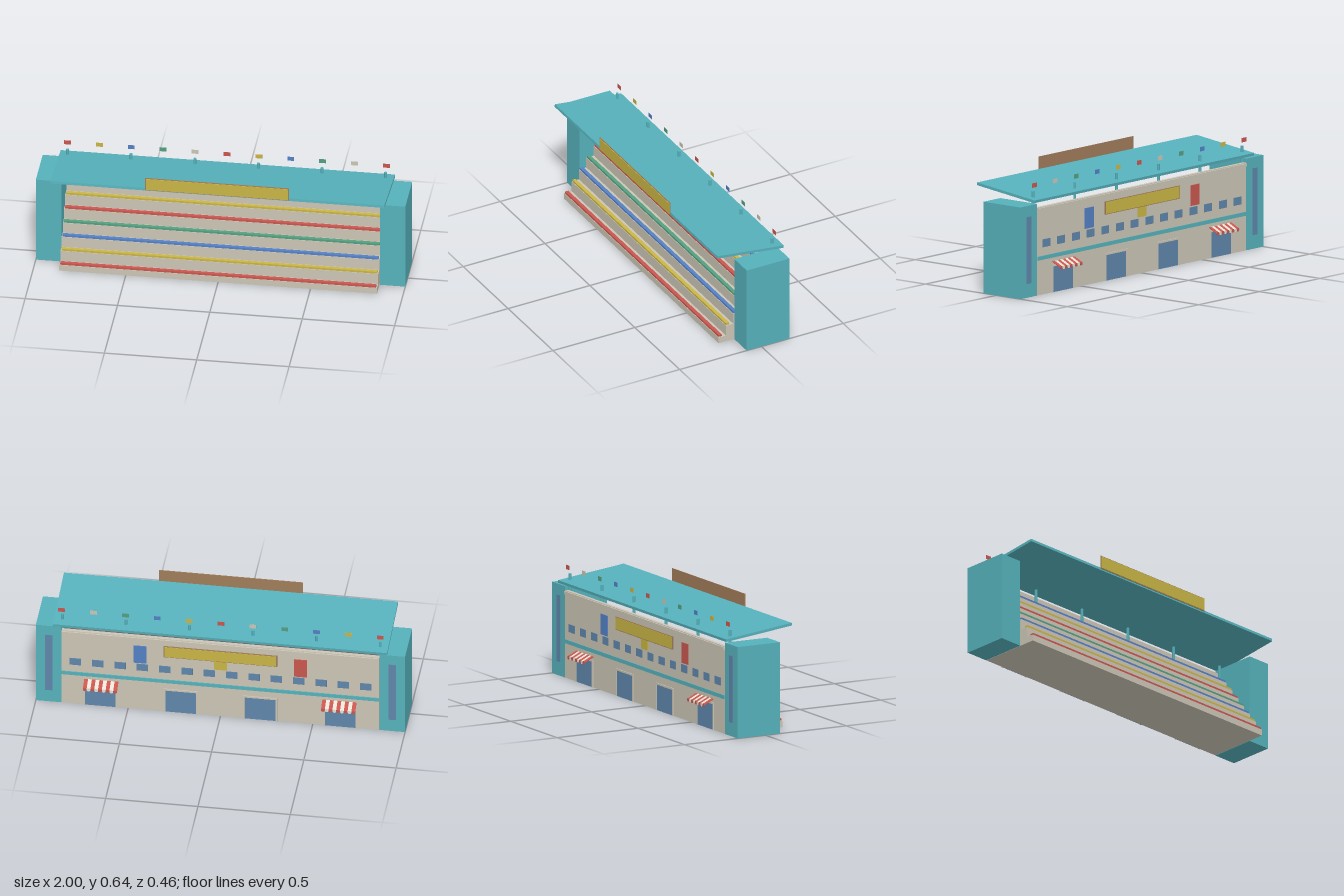
import * as THREE from 'three';

const paint = (name, color) => {
  const m = new THREE.MeshStandardMaterial({ color });
  m.name = name;
  return m;
};

export function createModel() {
  const model = new THREE.Group();
  model.name = 'grandstand';

  const teal = paint('teal', 0x56b1bb);
  const beige = paint('beige', 0xcbc5b5);
  const red = paint('red', 0xc9564f);
  const yellow = paint('yellow', 0xc9b545);
  const blue = paint('blue', 0x5480c4);
  const green = paint('green', 0x559f80);
  const glass = paint('glassBlue', 0x5f86ab);
  const brown = paint('brown', 0xa07c5a);
  const white = paint('white', 0xeee8dc);

  const add = (name, geometry, material, x = 0, y = 0, z = 0) => {
    const mesh = new THREE.Mesh(geometry, material);
    mesh.name = name;
    mesh.position.set(x, y, z);
    model.add(mesh);
    return mesh;
  };
  // Box given by its centre in x and its extents in y and z
  const block = (name, material, x, width, y0, y1, z0, z1) =>
    add(name, new THREE.BoxGeometry(width, y1 - y0, Math.abs(z1 - z0)), material, x, (y0 + y1) / 2, (z0 + z1) / 2);

  const BACK = -0.17;
  const ROWS = 7;

  // Stepped terraces and rear wall as one stair profile, drawn in z and y
  const profile = new THREE.Shape();
  profile.moveTo(BACK, 0);
  profile.lineTo(0.185, 0);
  for (let i = 0; i < ROWS; i++) {
    const top = 0.035 + 0.061 * i;
    profile.lineTo(0.185 - 0.045 * i, top);
    profile.lineTo(i < ROWS - 1 ? 0.14 - 0.045 * i : -0.15, top);
  }
  profile.lineTo(-0.15, 0.478);
  profile.lineTo(BACK, 0.478);
  const stair = new THREE.ExtrudeGeometry(profile, { depth: 1.72, bevelEnabled: false });
  stair.rotateY(-Math.PI / 2);
  add('terraces', stair, beige, 0.86);

  // Benches, one colour per row
  const benchColors = [red, yellow, blue, green];
  const benchOrder = [0, 1, 2, 3, 0, 1, 2];
  benchOrder.forEach((c, i) => {
    const y = 0.036 + 0.061 * i;
    const z = 0.183 - 0.045 * i;
    block('bench', benchColors[c], 0, 1.71, y, y + 0.011, z - 0.02, z);
  });

  // End towers with a tall window slit at the back
  for (const s of [-1, 1]) {
    block('tower', teal, s * 0.931, 0.138, 0, 0.5, BACK - 0.001, 0.09);
    block('towerWindow', glass, s * 0.93, 0.04, 0.075, 0.44, BACK - 0.003, BACK);
  }

  // Sloping roof and its posts
  const roof = add('roof', new THREE.BoxGeometry(1.81, 0.015, 0.409), teal, 0, 0.544, 0.015);
  roof.rotation.x = -0.12;
  for (let i = 0; i < 6; i++) {
    add('roofPost', new THREE.CylinderGeometry(0.008, 0.008, 0.166, 8), teal, -0.861 + i * 0.3444, 0.483, -0.14);
  }

  // Row of flags above the rear of the roof
  const flagColors = [red, yellow, blue, green, beige];
  for (let i = 0; i < 11; i++) {
    block('flag', flagColors[i % 5], -0.863 + i * 0.1726, 0.037, 0.588, 0.612, -0.153, -0.152);
  }

  // Blank sign board on the front edge of the roof
  block('signBack', brown, 0, 0.78, 0.567, 0.642, 0.222, 0.226);
  block('signFace', yellow, 0, 0.77, 0.571, 0.638, 0.226, 0.229);

  // Rear wall mouldings
  block('cornice', beige, 0, 1.72, 0.458, 0.474, BACK - 0.008, BACK);
  block('band', teal, 0, 1.72, 0.19, 0.211, BACK - 0.005, BACK);

  // Row of small rear windows
  for (let i = 0; i < 14; i++) {
    block('rearWindow', glass, -0.787 + i * 0.121, 0.062, 0.257, 0.3, BACK - 0.003, BACK);
  }

  // Hanging banners and rear sign board
  [[0.435, blue], [0, yellow], [-0.435, red]].forEach(([x, m]) =>
    block('banner', m, x, 0.07, 0.308, 0.42, BACK - 0.005, BACK));
  block('rearSignBack', brown, 0, 0.615, 0.362, 0.433, BACK - 0.006, BACK);
  block('rearSignFace', yellow, 0, 0.605, 0.366, 0.43, BACK - 0.008, BACK - 0.006);

  // Doorways with raised frames
  for (const x of [-0.65, -0.215, 0.215, 0.65]) {
    block('door', glass, x, 0.166, 0, 0.14, BACK - 0.002, BACK);
    block('doorLintel', beige, x, 0.186, 0.14, 0.15, BACK - 0.005, BACK);
    for (const s of [-1, 1]) block('doorJamb', beige, x + s * 0.088, 0.01, 0, 0.14, BACK - 0.005, BACK);
  }

  // Striped awnings over the outer doors, with a scalloped edge
  const STRIPES = 9;
  const w = 0.185 / STRIPES;
  for (const x of [-0.645, 0.645]) {
    for (let i = 0; i < STRIPES; i++) {
      const m = i % 2 ? white : red;
      const sx = x + (i - (STRIPES - 1) / 2) * w;
      const stripe = add('awningStripe', new THREE.BoxGeometry(w, 0.004, 0.06), m, sx, 0.155, -0.198);
      stripe.rotation.x = -0.45;
      const scallop = new THREE.CylinderGeometry(w / 2, w / 2, 0.002, 12).rotateX(Math.PI / 2);
      add('awningScallop', scallop, m, sx, 0.139, -0.226);
    }
  }

  return model;
}
